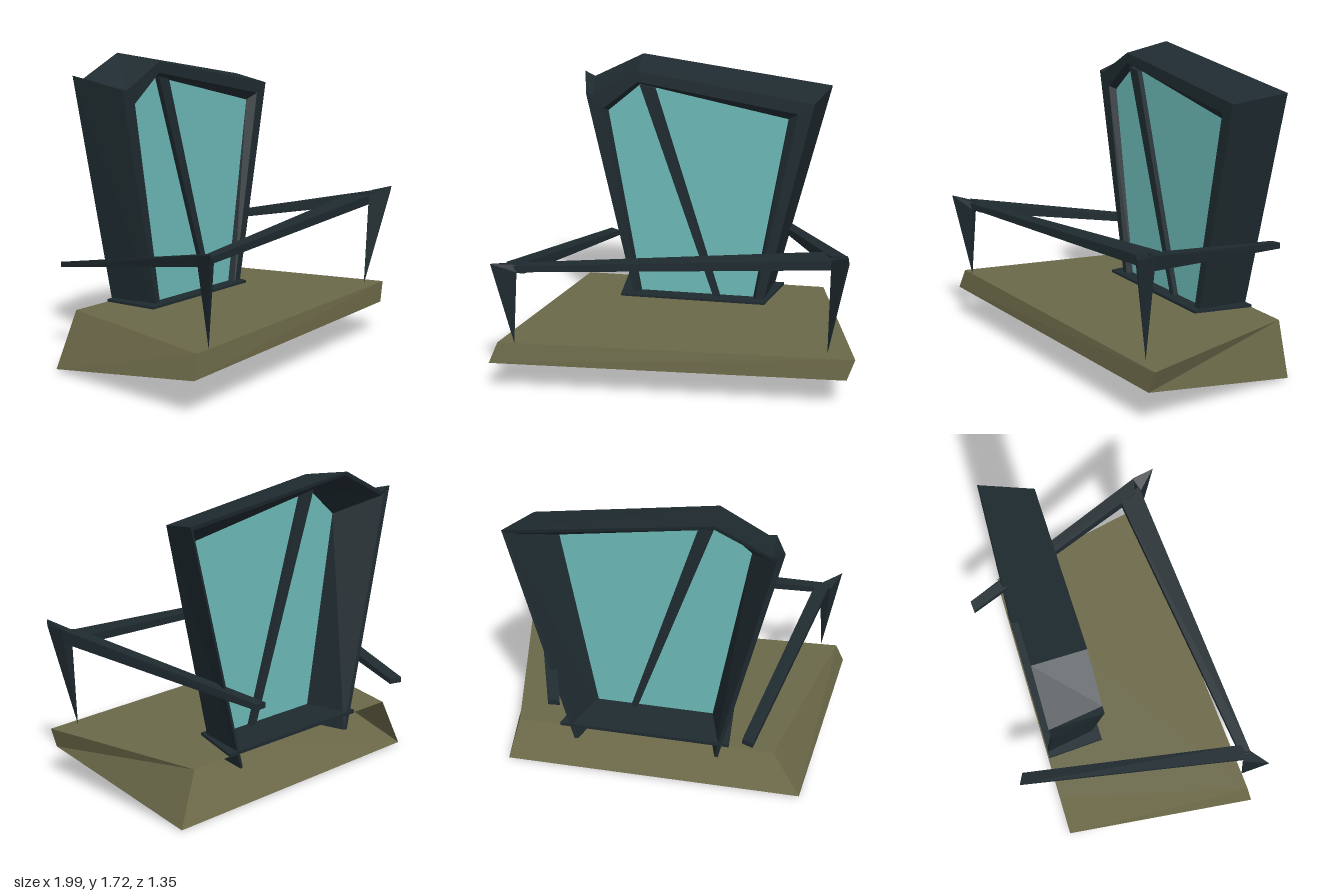
import * as THREE from 'three';
import { ConvexGeometry } from 'three/addons/geometries/ConvexGeometry.js';

const material = (color) => new THREE.MeshStandardMaterial({ color, flatShading: true, side: THREE.DoubleSide });
const stone = material(0x6b6848);
const metal = material(0x1f2b30);
const glass = material(0x6cbab8);

function add(group, name, geometry, mat) {
  const mesh = new THREE.Mesh(geometry, mat);
  mesh.name = name;
  group.add(mesh);
}

// Flat-shaded surface from four-cornered faces, corners counter-clockwise.
function quads(faces) {
  const positions = [];
  for (const [a, b, c, d] of faces) positions.push(...a, ...b, ...c, ...a, ...c, ...d);
  const geometry = new THREE.BufferGeometry();
  geometry.setAttribute('position', new THREE.Float32BufferAttribute(positions, 3));
  geometry.computeVertexNormals();
  return geometry;
}

const solid = (...points) => new ConvexGeometry(points.map((p) => new THREE.Vector3(...p)));

// Wedge-shaped slab, open where it meets the wall
function slab() {
  const top = [[-0.95, 0.31, 0.6], [0.99, 0.31, 0.5], [0.77, 0.31, -0.47], [-0.69, 0.31, -0.47]];
  const low = [[-1, 0.19, 0.62], [0.95, 0.19, 0.51], [0.86, 0, -0.47], [-0.85, 0.01, -0.47]];
  const faces = [top, [...low].reverse()];
  for (const i of [0, 1, 3]) {
    const j = (i + 1) % 4;
    faces.push([low[i], low[j], top[j], top[i]]);
  }
  return quads(faces);
}

// Window rings, each running from the lower right foot over the peak to the lower left foot
const ring = (z, points) => points.map(([x, y]) => [x, y, z]);
const frontOuter = ring(-0.18, [[-0.33, 0.22], [-0.61, 1.53], [-0.57, 1.525], [-0.31, 1.67], [0.69, 1.52], [0.41, 0.22]]);
const backOuter = ring(-0.47, [[-0.38, 0.22], [-0.684, 1.6], [-0.625, 1.57], [-0.33, 1.715], [0.775, 1.565], [0.45, 0.22]]);
const backInner = ring(-0.465, [[-0.36, 0.22], [-0.645, 1.56], [-0.62, 1.55], [-0.325, 1.695], [0.755, 1.545], [0.43, 0.22]]);
const paneEdge = ring(-0.22, [[-0.29, 0.22], [-0.49, 1.43], [-0.49, 1.43], [-0.3, 1.59], [0.545, 1.42], [0.35, 0.22]]);
const frontInner = ring(-0.18, [[-0.3, 0.22], [-0.51, 1.45], [-0.51, 1.45], [-0.31, 1.61], [0.6, 1.46], [0.365, 0.22]]);

function windowFrame() {
  const loop = [frontOuter, backOuter, backInner, paneEdge, frontInner];
  const faces = [];
  loop.forEach((a, k) => {
    const b = loop[(k + 1) % loop.length];
    for (let i = 0; i < a.length - 1; i++) faces.push([a[i], a[i + 1], b[i + 1], b[i]]);
  });
  // feet
  for (const i of [0, 5]) {
    const [a, b, c, d, e] = loop.map((r) => r[i]);
    faces.push(i ? [a, d, c, b] : [a, b, c, d], i ? [a, e, d, d] : [a, d, e, e]);
  }
  return quads(faces);
}

function pane() {
  const outline = new THREE.Shape(paneEdge.filter((p, i) => i !== 2).map(([x, y]) => new THREE.Vector2(x, y)));
  return new THREE.ShapeGeometry(outline).translate(0, 0, -0.22);
}

export function createModel() {
  const model = new THREE.Group();
  model.name = 'balconyWindow';

  add(model, 'balconySlab', slab(), stone);

  // Window
  add(model, 'windowFrame', windowFrame(), metal);
  add(model, 'windowPane', pane(), glass);
  const mullion = [];
  for (const z of [-0.19, -0.25]) {
    mullion.push([-0.3, 1.59, z], [-0.215, 1.575, z], [0.165, 0.22, z], [0.2, 0.22, z]);
  }
  add(model, 'mullion', solid(...mullion), metal);
  const sill = [];
  for (const y of [0.305, 0.325]) {
    sill.push([-0.42, y, -0.14], [0.44, y, -0.14], [0.53, y, -0.47], [-0.44, y, -0.47]);
  }
  add(model, 'sill', solid(...sill), metal);

  // Pointed posts at the front corners
  add(model, 'rightPost', solid([-0.94, 0.8, 0.67], [-0.83, 0.77, 0.59], [-0.82, 0.73, 0.6],
    [-0.88, 0.76, 0.54], [-0.855, 0.31, 0.595]), metal);
  add(model, 'leftPost', solid([0.93, 0.915, 0.58], [0.935, 0.88, 0.57], [0.84, 0.86, 0.48],
    [0.85, 0.8, 0.47], [0.92, 0.88, 0.45], [0.84, 0.31, 0.455]), metal);

  // Handrails, tapering from the posts
  add(model, 'rightRail', solid([-0.88, 0.78, 0.58], [-0.79, 0.77, 0.56], [-0.87, 0.72, 0.58], [-0.79, 0.71, 0.56],
    [-0.595, 0.54, -0.68], [-0.535, 0.535, -0.65], [-0.595, 0.51, -0.68], [-0.535, 0.505, -0.65]), metal);
  add(model, 'leftRail', solid([0.92, 0.88, 0.46], [0.83, 0.87, 0.44], [0.91, 0.8, 0.46], [0.8, 0.79, 0.36],
    [0.46, 0.65, -0.665], [0.525, 0.655, -0.67], [0.46, 0.62, -0.665], [0.525, 0.62, -0.67]), metal);
  add(model, 'frontRail', solid([-0.84, 0.765, 0.6], [-0.82, 0.765, 0.54], [-0.84, 0.73, 0.6], [-0.82, 0.73, 0.54],
    [0.87, 0.86, 0.475], [0.8, 0.855, 0.345], [0.87, 0.805, 0.475], [0.8, 0.81, 0.345]), metal);

  return model;
}
